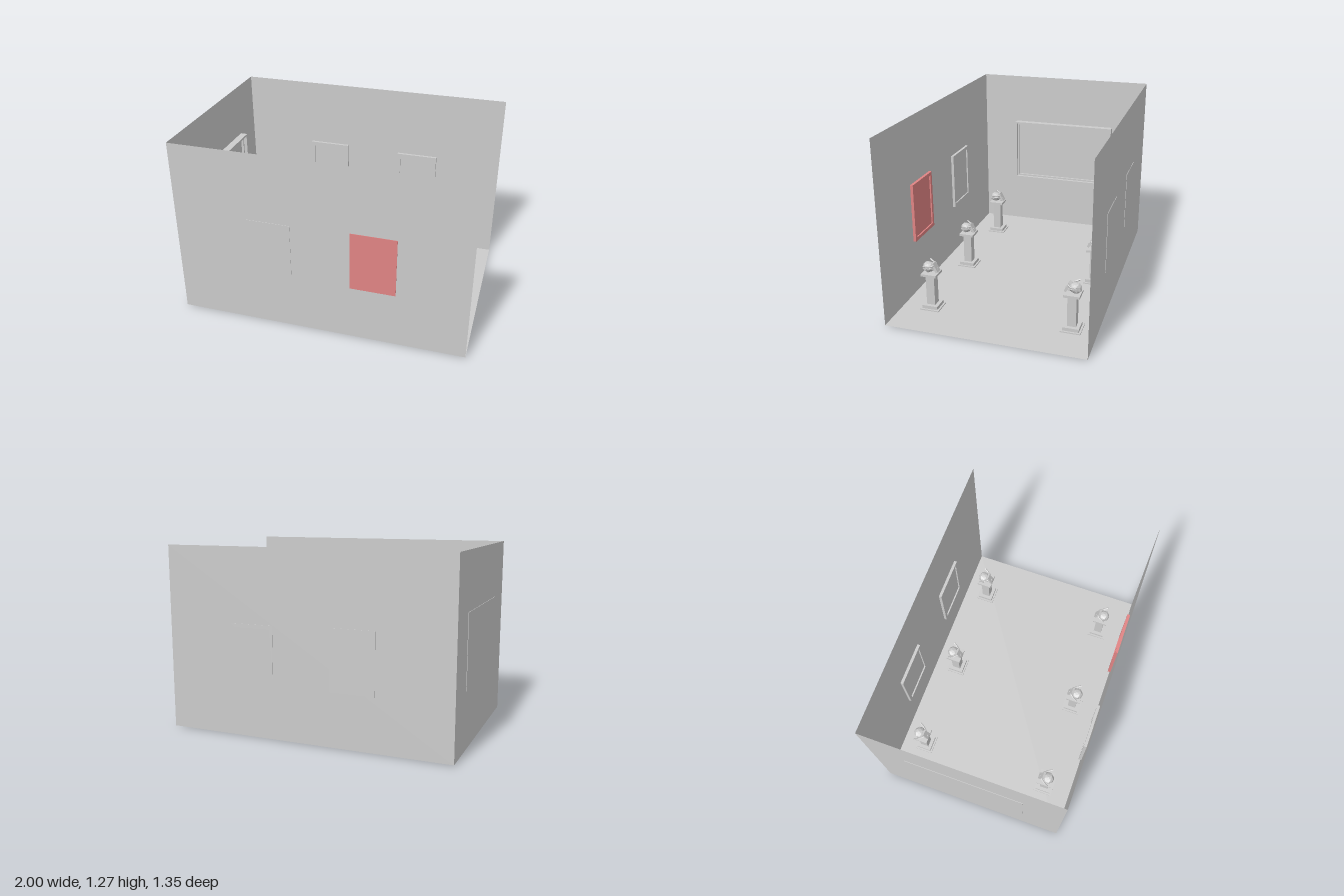
import * as THREE from 'three';

const grey = new THREE.MeshStandardMaterial({ color: 0xcccccc, flatShading: true, side: THREE.DoubleSide });
const red = new THREE.MeshStandardMaterial({ color: 0xe08484, flatShading: true, side: THREE.DoubleSide });

function add(parent, name, geometry, x = 0, y = 0, z = 0, material = grey) {
  const mesh = new THREE.Mesh(geometry, material);
  mesh.name = name;
  mesh.position.set(x, y, z);
  parent.add(mesh);
  return mesh;
}

function rect(target, w, h) {
  target.moveTo(-w / 2, -h / 2);
  target.lineTo(w / 2, -h / 2);
  target.lineTo(w / 2, h / 2);
  target.lineTo(-w / 2, h / 2);
  target.closePath();
  return target;
}

// Rectangular rim with its back at z = 0, facing +z
function rim(w, h, border, depth) {
  const shape = rect(new THREE.Shape(), w, h);
  shape.holes.push(rect(new THREE.Path(), w - 2 * border, h - 2 * border));
  return new THREE.ExtrudeGeometry(shape, { depth, bevelEnabled: false });
}

function picture(name, w, h, border, depth, panelDepth, material) {
  const group = new THREE.Group();
  group.name = name;
  add(group, 'frame', rim(w, h, border, depth), 0, 0, 0, material);
  add(group, 'canvas', new THREE.BoxGeometry(w - 2 * border, h - 2 * border, panelDepth), 0, 0, panelDepth / 2, material);
  return group;
}

// Faceted carved head with a sloping face plate and two swept side horns, facing +z
function sculpture() {
  const group = new THREE.Group();
  group.name = 'sculpture';
  const skull = new THREE.IcosahedronGeometry(1, 1);
  const p = skull.attributes.position;
  for (let i = 0; i < p.count; i++) {
    const x = p.getX(i), y = p.getY(i), z = p.getZ(i);
    const s = 1 + 0.07 * Math.sin(5 * y + 3 * z);
    p.setXYZ(i, x * s * 0.042, y * s * 0.036, z * s * 0.044);
  }
  add(group, 'skull', skull, 0, 0.304, -0.014);
  const plate = add(group, 'facePlate', new THREE.BoxGeometry(0.045, 0.068, 0.016), 0, 0.306, 0.034);
  plate.rotation.x = -0.48;
  const snout = add(group, 'snout', new THREE.CylinderGeometry(0.009, 0.016, 0.03, 6), 0, 0.292, 0.036);
  snout.rotation.x = 1.1;
  for (const side of [-1, 1]) {
    const curve = new THREE.CatmullRomCurve3([
      new THREE.Vector3(side * 0.022, 0.325, 0.03),
      new THREE.Vector3(side * 0.043, 0.32, 0.005),
      new THREE.Vector3(side * 0.064, 0.33, -0.03),
    ]);
    add(group, 'horn', new THREE.TubeGeometry(curve, 4, 0.006, 5));
  }
  return group;
}

// Stepped square plinth: [width, bottom, top] of each block
const blocks = [
  ['plinthBase', 0.135, 0, 0.011],
  ['plinthStep', 0.11, 0.011, 0.034],
  ['plinthColumn', 0.06, 0.034, 0.25],
  ['plinthCap', 0.108, 0.25, 0.267],
];

function pedestal() {
  const group = new THREE.Group();
  group.name = 'pedestal';
  for (const [name, w, y0, y1] of blocks) {
    add(group, name, new THREE.BoxGeometry(w, y1 - y0, w), 0, (y0 + y1) / 2, 0);
  }
  group.add(sculpture());
  return group;
}

export function createModel() {
  const model = new THREE.Group();
  model.name = 'galleryRoom';
  const H = 1.27, D = 1.348, left = -0.997, floorY = 0.003;

  // Floor and three thin walls, open on +x
  const floor = add(model, 'floor', new THREE.PlaneGeometry(1 - left, D), (1 + left) / 2, floorY, 0);
  floor.rotation.x = -Math.PI / 2;
  for (const s of [-1, 1]) {
    const wall = add(model, s > 0 ? 'frontWall' : 'backWall', new THREE.PlaneGeometry(1 - left, H - floorY),
      (1 + left) / 2, (H + floorY) / 2, s * D / 2);
    if (s > 0) wall.rotation.y = Math.PI;
  }
  const endWall = add(model, 'endWall', new THREE.PlaneGeometry(D, H - floorY), left, (H + floorY) / 2, 0);
  endWall.rotation.y = Math.PI / 2;

  // Four portrait pictures on the long walls: side, x, centre height
  const portraits = [
    [1, 0.37, 0.6, red],
    [1, -0.338, 0.585, grey],
    [-1, 0.37, 0.558, grey],
    [-1, -0.338, 0.573, grey],
  ];
  for (const [side, x, y, material] of portraits) {
    const p = picture('portraitPicture', 0.306, 0.415, 0.024, 0.023, 0.013, material);
    p.position.set(x, y, side * 0.677);
    if (side > 0) p.rotation.y = Math.PI;
    model.add(p);
  }

  // Large deep picture on the end wall, with a stepped inner lip
  const large = picture('largePicture', 0.816, 0.494, 0.014, 0.055, 0.012, grey);
  add(large, 'innerLip', rim(0.788, 0.466, 0.012, 0.03));
  large.position.set(-1, 0.642, -0.007);
  large.rotation.y = Math.PI / 2;
  model.add(large);

  // Two rows of three pedestals facing the middle of the room
  for (const x of [-0.68, 0, 0.683]) {
    for (const z of [-0.503, 0.475]) {
      const p = pedestal();
      p.position.set(x, 0, z);
      if (z > 0) p.rotation.y = Math.PI;
      model.add(p);
    }
  }
  return model;
}
